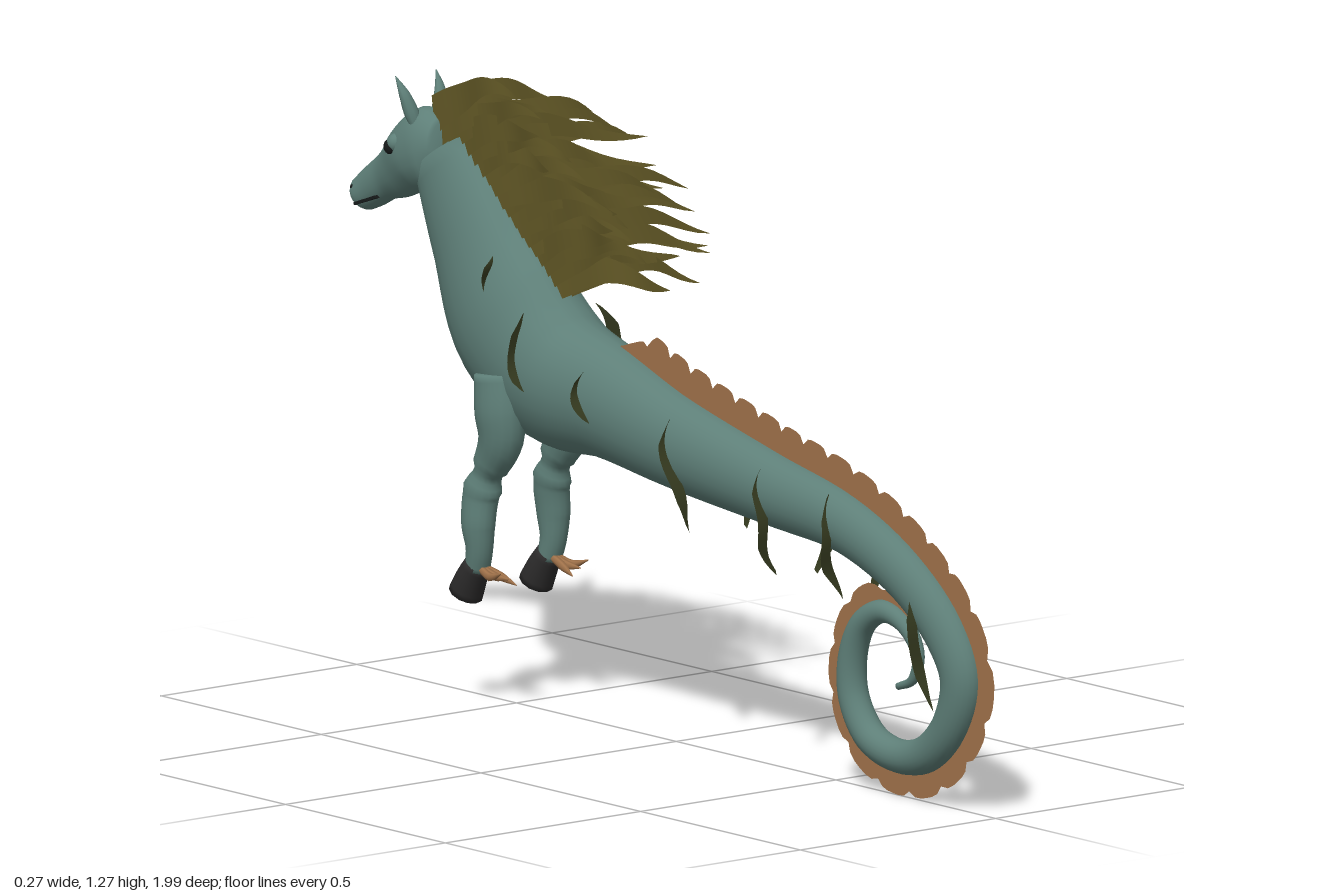
import * as THREE from 'three';

const V = (x, y, z) => new THREE.Vector3(x, y, z);
const lerp = THREE.MathUtils.lerp;

function material(name, color, side = THREE.FrontSide) {
  const m = new THREE.MeshStandardMaterial({ color, side });
  m.name = name;
  return m;
}

function rng(seed) {
  return () => (seed = (seed * 16807) % 2147483647) / 2147483647;
}

function indexed(pos, idx) {
  const g = new THREE.BufferGeometry();
  g.setAttribute('position', new THREE.Float32BufferAttribute(pos, 3));
  g.setIndex(idx);
  g.computeVertexNormals();
  return g;
}

// Smooth spine through cross-sections [z, y, thickness radius, width radius, x]
function makeSpine(sections, s = 1) {
  const path = new THREE.CatmullRomCurve3(sections.map(p => V(s * (p[4] || 0), p[1], p[0])));
  const radii = new THREE.CatmullRomCurve3(sections.map(p => V(p[2], p[3], 0)));
  return {
    path,
    at(t) {
      const d = path.getTangent(t);
      return { p: path.getPoint(t), n: V(0, d.z, -d.y).normalize(), r: radii.getPoint(t) };
    },
  };
}

// Tube of elliptical rings along a spine, closed at both ends
function loft(sections, s = 1, perSection = 5, sides = 20) {
  const spine = makeSpine(sections, s), rows = (sections.length - 1) * perSection;
  const pos = [], idx = [];
  for (let i = -1; i <= rows + 1; i++) {
    const { p, n, r } = spine.at(THREE.MathUtils.clamp(i / rows, 0, 1));
    const k = i < 0 || i > rows ? 0.001 : 1;
    for (let j = 0; j < sides; j++) {
      const a = (j / sides) * Math.PI * 2;
      const q = p.clone().addScaledVector(n, r.x * k * Math.sin(a));
      pos.push(q.x + r.y * k * Math.cos(a), q.y, q.z);
    }
  }
  for (let i = 0; i < rows + 2; i++) for (let j = 0; j < sides; j++) {
    const a = i * sides + j, b = i * sides + (j + 1) % sides;
    idx.push(a, b, a + sides, b, b + sides, a + sides);
  }
  return indexed(pos, idx);
}

// Open strip; edges(t) returns its two edge points
function ribbon(steps, edges) {
  const pos = [], idx = [];
  for (let i = 0; i <= steps; i++) {
    for (const v of edges(i / steps)) pos.push(v.x, v.y, v.z);
    if (i < steps) idx.push(2 * i, 2 * i + 1, 2 * i + 2, 2 * i + 1, 2 * i + 3, 2 * i + 2);
  }
  return indexed(pos, idx);
}

const BODY = [
  [-0.725, 1.07, 0.088, 0.05], [-0.62, 0.92, 0.125, 0.075], [-0.5, 0.77, 0.163, 0.108],
  [-0.36, 0.68, 0.145, 0.115], [-0.2, 0.652, 0.118, 0.093], [0, 0.605, 0.097, 0.076],
  [0.3, 0.555, 0.075, 0.062], [0.55, 0.515, 0.06, 0.05], [0.73, 0.44, 0.055, 0.045],
  [0.85, 0.345, 0.053, 0.042], [0.895, 0.26, 0.05, 0.04], [0.865, 0.165, 0.043, 0.038],
  [0.79, 0.095, 0.038, 0.036], [0.7, 0.075, 0.034, 0.034], [0.61, 0.1, 0.033, 0.033],
  [0.557, 0.17, 0.032, 0.031], [0.552, 0.25, 0.03, 0.029], [0.585, 0.325, 0.027, 0.026],
  [0.65, 0.36, 0.023, 0.022], [0.72, 0.34, 0.018, 0.018], [0.758, 0.285, 0.013, 0.013],
  [0.74, 0.235, 0.01, 0.01], [0.695, 0.215, 0.007, 0.007],
];
const HEAD = [
  [-0.715, 1.085, 0.055, 0.042], [-0.765, 1.075, 0.086, 0.058], [-0.81, 1.055, 0.076, 0.058],
  [-0.86, 1.02, 0.06, 0.044], [-0.905, 0.995, 0.046, 0.035], [-0.945, 0.97, 0.042, 0.035],
  [-0.973, 0.953, 0.036, 0.037], [-0.988, 0.945, 0.018, 0.022],
];
const LEG = [
  [-0.45, 0.68, 0.06, 0.042, 0.085], [-0.442, 0.61, 0.06, 0.044, 0.09], [-0.442, 0.55, 0.053, 0.04, 0.088],
  [-0.475, 0.49, 0.04, 0.034, 0.086], [-0.5, 0.43, 0.04, 0.034, 0.09], [-0.502, 0.37, 0.037, 0.032, 0.096],
  [-0.5, 0.32, 0.028, 0.027, 0.095], [-0.51, 0.275, 0.025, 0.025, 0.092],
];
const HOOF = [
  [-0.508, 0.288, 0.027, 0.027, 0.092], [-0.53, 0.255, 0.032, 0.033, 0.091], [-0.548, 0.223, 0.036, 0.036, 0.09],
];
const EAR = [
  [-0.775, 1.12, 0.01, 0.012, 0.03], [-0.785, 1.15, 0.014, 0.016, 0.036],
  [-0.795, 1.185, 0.01, 0.012, 0.045], [-0.815, 1.22, 0.001, 0.001, 0.052],
];
// Trailing weeds: top z, bottom z, top y, bottom y, body half width
const WEEDS = [
  [-0.46, -0.44, 0.92, 0.82, 0.08], [-0.35, -0.3, 0.82, 0.64, 0.11], [-0.17, -0.13, 0.74, 0.6, 0.085],
  [0.08, 0.15, 0.67, 0.45, 0.07], [0.36, 0.4, 0.61, 0.4, 0.058], [0.56, 0.59, 0.58, 0.38, 0.048],
  [0.81, 0.88, 0.43, 0.2, 0.042],
];

export function createModel() {
  const skin = material('tealSkin', 0x5e7f78);
  const finMat = material('brownFin', 0xa0724a, THREE.DoubleSide);
  const maneMat = material('oliveMane', 0x625826, THREE.DoubleSide);
  const weedMat = material('darkWeed', 0x363b20, THREE.DoubleSide);
  const hoofMat = material('darkHoof', 0x2c2b2b);
  const eyeMat = material('blackEye', 0x171a1a);

  const group = new THREE.Group();
  const add = (name, geo, mat) => {
    const m = new THREE.Mesh(geo, mat);
    m.name = name;
    group.add(m);
    return m;
  };
  const ball = (name, r, mat, x, y, z, sx = 1) => {
    const m = add(name, new THREE.SphereGeometry(r, 14, 10), mat);
    m.position.set(x, y, z);
    m.scale.x = sx;
  };

  add('bodyAndTail', loft(BODY, 1, 6, 24), skin);
  add('head', loft(HEAD, 1, 5, 20), skin);

  // Mouth line
  const mouth = add('mouth', new THREE.BoxGeometry(0.069, 0.006, 0.07), eyeMat);
  mouth.position.set(0, 0.948, -0.935);
  mouth.rotation.x = -0.35;

  // Scalloped fin along the back and around the coil
  const spine = makeSpine(BODY), teeth = 27;
  add('backFin', ribbon(teeth * 6, t => {
    const { p, n, r } = spine.at(spine.path.getUtoTmapping(lerp(0.245, 0.94, t)));
    const tooth = 0.72 + 0.28 * Math.abs(Math.sin(t * teeth * Math.PI + 0.5 * Math.sin(2 * t * teeth * Math.PI)));
    const h = lerp(0.075, 0.036, t) * tooth * Math.min(1, t / 0.05, (1 - t) / 0.05);
    return [p.clone().addScaledVector(n, r.x * 0.8), p.clone().addScaledVector(n, r.x + h)];
  }), finMat);

  for (const s of [1, -1]) {
    const side = s > 0 ? 'left' : 'right', rand = rng(s > 0 ? 71 : 1234);

    // Face details
    add(side + 'Ear', loft(EAR, s, 5, 10), skin);
    ball(side + 'Brow', 0.02, skin, s * 0.042, 1.082, -0.825);
    ball(side + 'Eye', 0.015, eyeMat, s * 0.054, 1.075, -0.832, 0.6);
    ball(side + 'Nostril', 0.006, eyeMat, s * 0.031, 0.968, -0.976, 0.6);

    // Foreleg, hoof and ankle spikes
    add(side + 'Foreleg', loft(LEG, s, 5, 16), skin);
    add(side + 'Hoof', loft(HOOF, s, 3, 12), hoofMat);
    for (const k of [-1, 0, 1]) {
      add(side + 'AnkleSpike', loft([
        [-0.49, 0.28, 0.008, 0.008, 0.092 + k * 0.006], [-0.455, 0.27, 0.009, 0.008, 0.092 + k * 0.012],
        [-0.412, 0.27 + k * 0.014, 0.001, 0.001, 0.092 + k * 0.02],
      ], s, 3, 6), finMat);
    }

    // Mane locks flowing back from the crest
    const locks = 18;
    for (let i = 0; i < locks; i++) {
      const c = i / (locks - 1), z0 = lerp(-0.75, -0.37, c), y0 = lerp(1.145, 0.87, c);
      const len = 0.33 + 0.15 * rand(), spread = 0.03 + 0.1 * rand(), phase = rand() * 6, lift = 0.04 + 0.06 * rand();
      add(side + 'ManeLock', ribbon(16, u => {
        const w = 0.034 * Math.pow(1 - u, 0.8) + 0.004 * (1 - u * u);
        const x = s * (0.008 + spread * Math.pow(u, 1.2) + 0.01 * u * Math.sin(9 * u + phase));
        const y = y0 + lift * u + 0.03 * Math.sin(Math.PI * u) + 0.012 * u * Math.sin(8 * u + phase);
        const z = z0 + len * u;
        return [V(x + s * 0.12 * w, y - w, z + 0.3 * w), V(x - s * 0.12 * w, y + w, z - 0.3 * w)];
      }), maneMat);
    }

    // Weeds hanging on the flanks, standing out from the skin
    WEEDS.forEach(([za, zb, ya, yb, rx], i) => add(side + 'Weed', ribbon(14, t => {
      const shift = s > 0 ? 0 : -0.04;
      const z = lerp(za, zb, t) + shift + 0.008 * Math.sin(t * 7 + i);
      const x = rx * (0.72 + 0.28 * Math.sin(Math.PI * t)) + 0.01 * t * Math.sin(t * 8 + i * 2);
      const w = 0.03 * Math.min(1, 0.35 + 3 * t, (1 - t) * 3 + 0.1);
      return [V(s * (x - 0.006), lerp(ya, yb, t), z), V(s * (x - 0.006 + w), lerp(ya, yb, t) - 0.008, z + 0.006)];
    }), weedMat));
  }
  return group;
}
